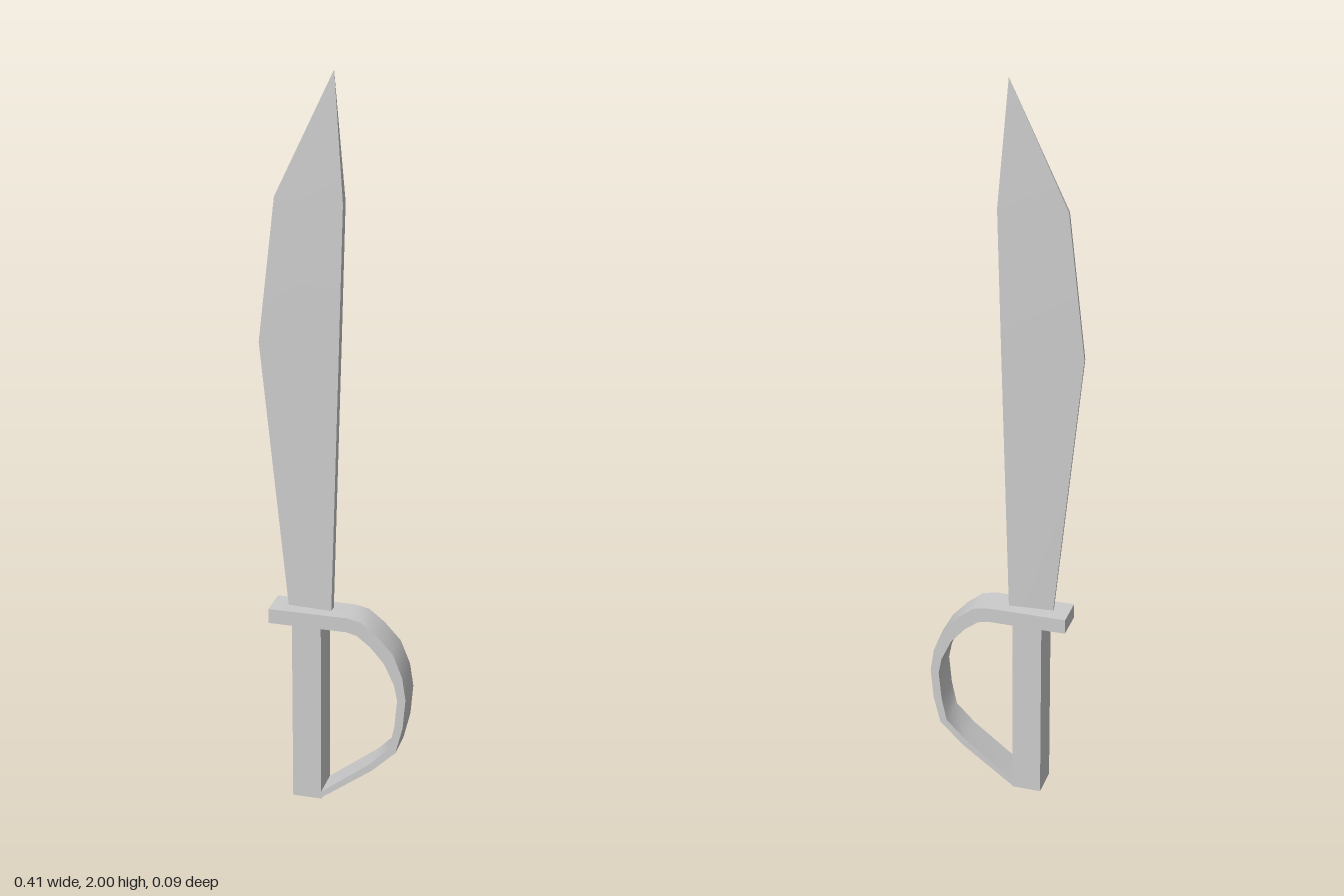
import * as THREE from 'three';
import { toCreasedNormals } from 'three/addons/utils/BufferGeometryUtils.js';

const DEPTH = 0.09;
const material = new THREE.MeshStandardMaterial({ color: 0xcccccc });

function addMesh(group, name, geometry) {
  const mesh = new THREE.Mesh(geometry, material);
  mesh.name = name;
  group.add(mesh);
  return mesh;
}

// Wedge blade: each station is [edge x, edge y, spine x, spine y, edge half thickness, spine half thickness]
function bladeGeometry() {
  const stations = [
    [-0.13, 0.55, -0.01, 0.55, 0.004, 0.013],
    [-0.205, 1.29, 0.011, 1.29, 0.004, 0.013],
    [-0.16, 1.675, 0.021, 1.67, 0.004, 0.013],
    [-0.005, 2.0, -0.005, 2.0, 0, 0],
  ];
  const positions = [];
  const index = [];
  for (const [ex, ey, sx, sy, et, st] of stations) {
    positions.push(ex, ey, et, sx, sy, st, sx, sy, -st, ex, ey, -et);
  }
  for (let i = 0; i < stations.length - 1; i++) {
    for (let k = 0; k < 4; k++) {
      const a = i * 4 + k, b = i * 4 + ((k + 1) % 4);
      index.push(a, b, b + 4);
      if (i < stations.length - 2) index.push(a, b + 4, a + 4);
    }
  }
  index.push(0, 2, 1, 0, 3, 2); // base cap
  const geometry = new THREE.BufferGeometry();
  geometry.setAttribute('position', new THREE.Float32BufferAttribute(positions, 3));
  geometry.setIndex(index);
  return toCreasedNormals(geometry, 0.2);
}

// Crossguard that curves round into the knuckle bow and meets the pommel
function guardGeometry() {
  const outer = [
    [-0.175, 0.556], [0.04, 0.556], [0.08, 0.548], [0.122, 0.515], [0.168, 0.465],
    [0.194, 0.4], [0.204, 0.335], [0.197, 0.25], [0.178, 0.172], [0.112, 0.108], [-0.03, 0.003],
  ];
  const inner = [
    [-0.03, 0.022], [0.107, 0.128], [0.16, 0.182], [0.174, 0.25], [0.181, 0.33],
    [0.172, 0.375], [0.144, 0.435], [0.105, 0.48], [0.068, 0.508], [0.04, 0.515], [-0.175, 0.515],
  ];
  const shape = new THREE.Shape([...outer, ...inner].map(([x, y]) => new THREE.Vector2(x, y)));
  const geometry = new THREE.ExtrudeGeometry(shape, { depth: DEPTH, bevelEnabled: false });
  geometry.translate(0, 0, -DEPTH / 2);
  return toCreasedNormals(geometry, 0.7);
}

export function createModel() {
  const group = new THREE.Group();
  group.name = 'sword';

  addMesh(group, 'blade', bladeGeometry());
  addMesh(group, 'guard', guardGeometry());

  // Square grip
  const grip = addMesh(group, 'grip', new THREE.BoxGeometry(0.08, 0.516, DEPTH));
  grip.position.set(-0.07, 0.258, 0);

  return group;
}
